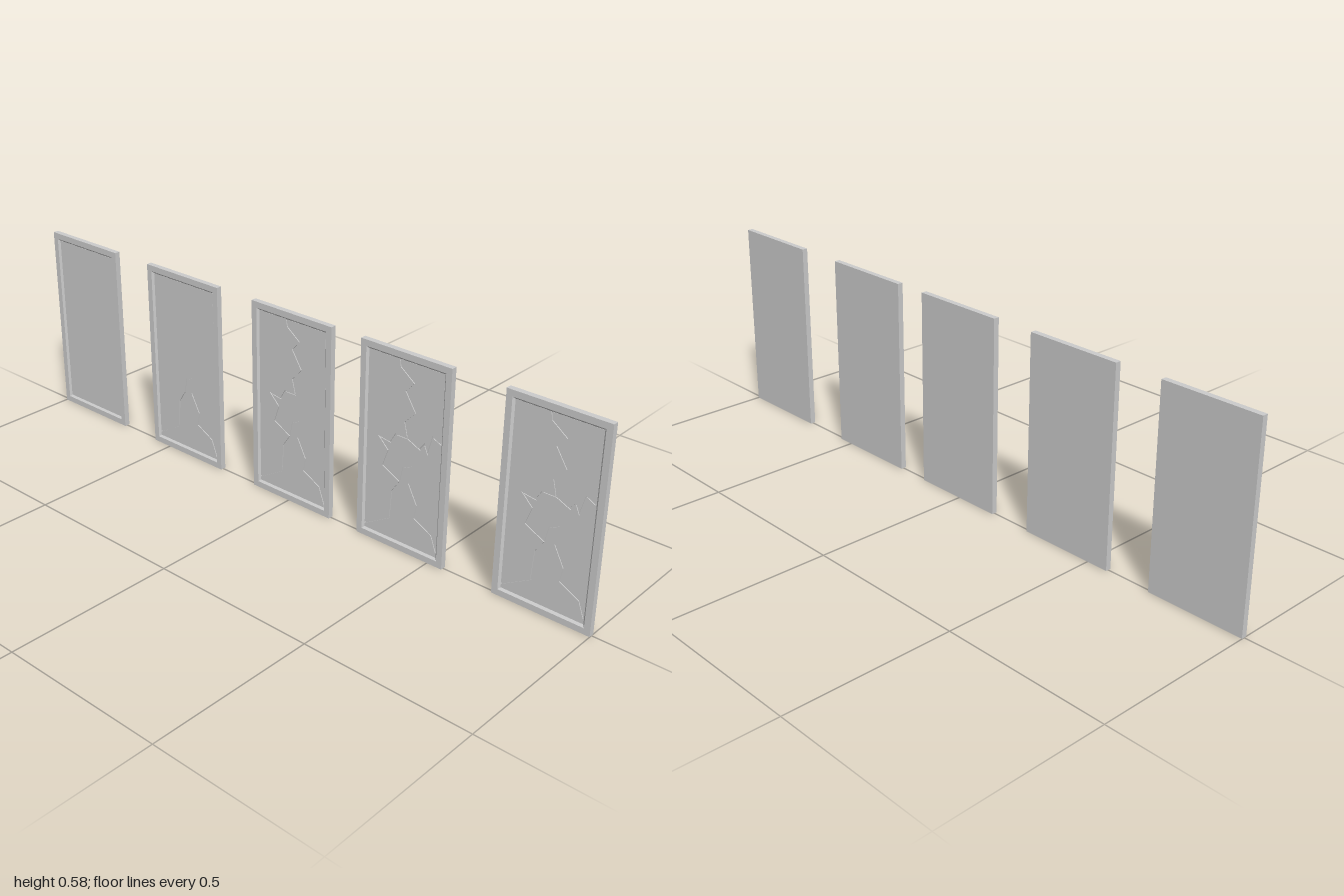
import * as THREE from 'three';

const W = 0.292, H = 0.585, HALF = 0.0085;
const FLOOR = 0.0005;  // bottom of the recess and of the cracks
const SHEET = 0.003;   // surface of the broken sheet
const EDGE = 0.022;    // sheet margin, tucked under the frame

const material = new THREE.MeshStandardMaterial({ color: 0xcccccc, flatShading: true });

// Crack lines as [across, up] on the panel
const lowerCrack = [
  [EDGE, 0.035], [0.11, 0.086], [0.115, 0.17], [0.14, 0.207], [0.149, 0.254], [0.177, 0.268],
  [0.169, 0.212], [0.199, 0.155], [0.192, 0.115], [0.25, 0.085], [W - EDGE, 0.032],
];
const upperCrack = [
  [0.126, H - EDGE], [0.13, 0.54], [0.177, 0.505], [0.149, 0.476], [0.183, 0.423], [0.149, 0.386],
  [0.16, 0.343], [0.121, 0.343], [0.104, 0.314], [0.065, 0.319], [0.098, 0.287], [0.081, 0.237],
];
const sideCrack = [[0.2, 0.325], [0.215, 0.345], [0.225, 0.32], [0.24, 0.375], [W - EDGE, 0.36]];

const BL = [EDGE, EDGE], BR = [W - EDGE, EDGE], TR = [W - EDGE, H - EDGE], TL = [EDGE, H - EDGE];
const JOIN = 3, FORK = 6; // where the upper crack meets the lower one, and where it branches
const rev = (a) => [...a].reverse();

// Counter-clockwise outlines of the pieces at each stage of breakage
const lower = [BL, BR, ...rev(lowerCrack)];
const aboveLower = [...lowerCrack, TR, TL];
const left = [...lowerCrack.slice(0, JOIN + 1), ...rev(upperCrack), TL];
const right = [...upperCrack, ...lowerCrack.slice(JOIN), TR];
const rightTop = [...upperCrack.slice(0, FORK + 1), ...sideCrack, TR];
const rightMiddle = [...upperCrack.slice(FORK), ...lowerCrack.slice(JOIN), ...rev(sideCrack)];
const stages = [
  [[BL, BR, TR, TL]],
  [lower, aboveLower],
  [lower, left, right],
  [lower, left, rightTop, rightMiddle],
  [lower, left, rightTop, rightMiddle],
];

// Shrinks a counter-clockwise outline so neighbouring pieces leave a narrow gap
function inset(points, amount) {
  const p = points.map(([x, y]) => new THREE.Vector2(x, y));
  const normal = (a, b) => new THREE.Vector2(a.y - b.y, b.x - a.x).normalize();
  return p.map((q, i) => {
    const n1 = normal(p[(i + p.length - 1) % p.length], q);
    const n2 = normal(q, p[(i + 1) % p.length]);
    const mid = n1.clone().add(n2).normalize();
    return q.clone().addScaledVector(mid, amount / Math.max(0.5, mid.dot(n1)));
  });
}

function shardGeometry(outline) {
  const shape = new THREE.Shape(inset(outline, 0.002));
  const g = new THREE.ExtrudeGeometry(shape, { depth: SHEET - FLOOR, bevelEnabled: false });
  return g.translate(0, 0, FLOOR);
}

// Picture-frame border: outer wall, flat face and sloped inner lip, swept through four rings
function frameGeometry() {
  const rings = [[0, FLOOR], [0, HALF], [0.018, HALF], [0.026, FLOOR]].map(([m, d]) => [
    [m, m, d], [W - m, m, d], [W - m, H - m, d], [m, H - m, d],
  ]);
  const pos = [];
  for (let r = 0; r < 3; r++) {
    for (let j = 0; j < 4; j++) {
      const k = (j + 1) % 4;
      const [a, b, c, d] = [rings[r][j], rings[r][k], rings[r + 1][k], rings[r + 1][j]];
      pos.push(...a, ...b, ...c, ...a, ...c, ...d);
    }
  }
  const g = new THREE.BufferGeometry();
  g.setAttribute('position', new THREE.Float32BufferAttribute(pos, 3));
  g.computeVertexNormals();
  return g;
}

export function createModel() {
  const model = new THREE.Group();
  model.name = 'crackedPanelSet';
  const backDepth = HALF + FLOOR;
  const back = new THREE.BoxGeometry(W, H, backDepth).translate(W / 2, H / 2, FLOOR - backDepth / 2);
  const frame = frameGeometry();

  // Five panels in a row, each more broken than the last
  [-1, -0.566, -0.138, 0.256, 1 - W].forEach((z, i) => {
    const panel = new THREE.Group();
    panel.name = `panel${i + 1}`;
    const add = (geometry, name) => {
      const mesh = new THREE.Mesh(geometry, material);
      mesh.name = name;
      panel.add(mesh);
    };
    add(back, 'backBoard');
    add(frame, 'frame');
    stages[i].forEach((outline, s) => add(shardGeometry(outline), `sheetPiece${s + 1}`));
    panel.rotation.y = -Math.PI / 2; // framed side faces -x
    panel.position.z = z;
    model.add(panel);
  });
  return model;
}
